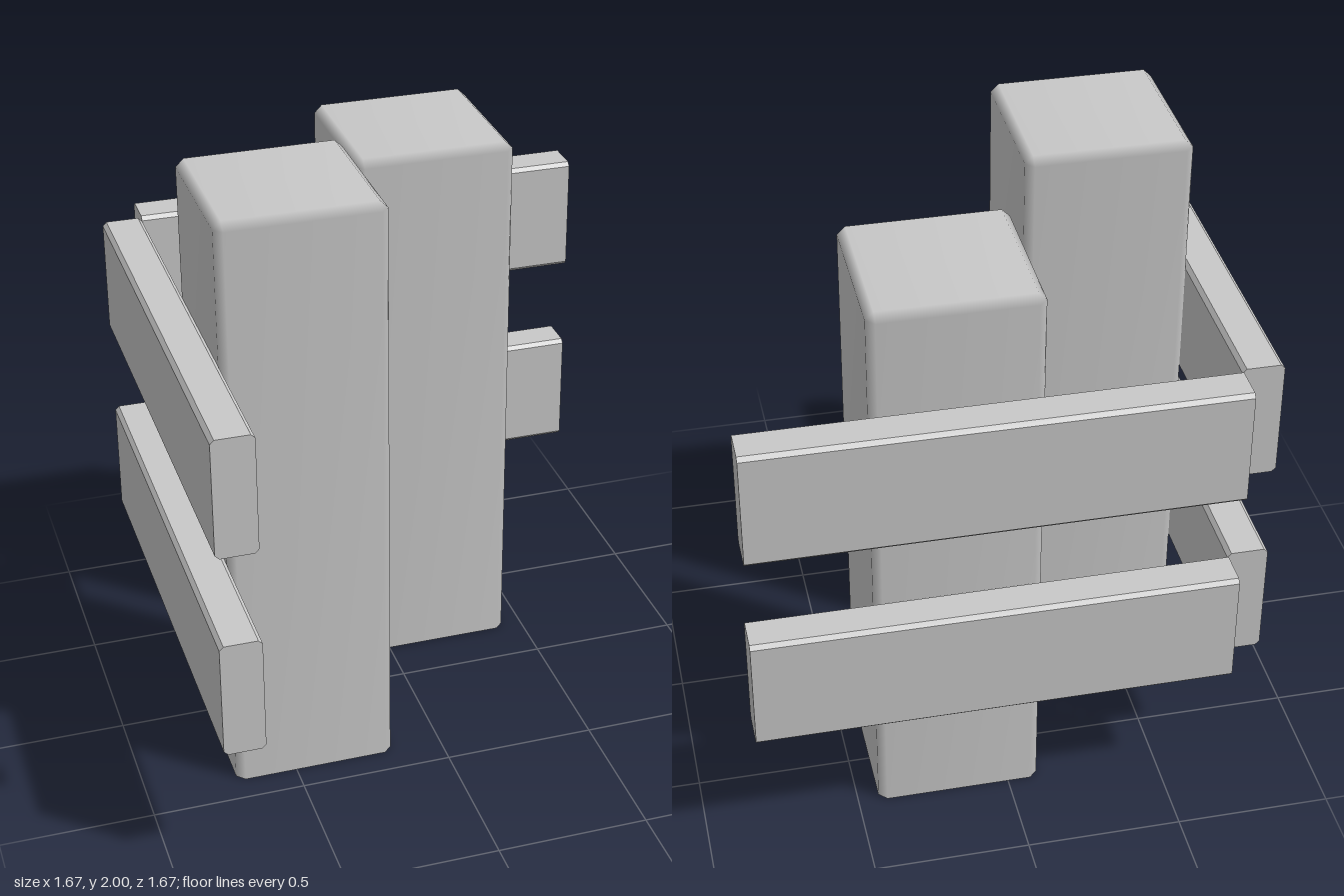
import * as THREE from 'three';

const grey = new THREE.MeshStandardMaterial({ color: 0xc8c8c8, side: THREE.DoubleSide });
grey.name = 'lightGrey';

// Square outline with cut corners, counter-clockwise, as [a, b] pairs
function cutCorners(w, h, c) {
  const a = w / 2, b = h / 2;
  return [[a, b - c], [a - c, b], [c - a, b], [-a, b - c], [-a, c - b], [c - a, -b], [a - c, -b], [a, c - b]];
}

// Post: bevelled upright edges and top, open underneath, softly smoothed
function postGeometry(width, height, bevel) {
  const outline = cutCorners(width, width, bevel);
  const t = width / 2 - bevel;
  const points = [];
  for (const y of [0, height - bevel]) for (const [x, z] of outline) points.push(x, y, z);
  for (const [x, z] of [[t, t], [-t, t], [-t, -t], [t, -t]]) points.push(x, height, z);
  const index = [];
  for (let i = 0; i < 8; i++) {
    const j = (i + 1) % 8;
    // wall or upright bevel
    index.push(i, i + 8, j, j, i + 8, j + 8);
    // top bevel: corner triangle, or strip along a side
    const p = 16 + Math.floor(i / 2), q = 16 + Math.floor(j / 2);
    index.push(i + 8, p, j + 8);
    if (p !== q) index.push(j + 8, p, q);
  }
  index.push(16, 18, 17, 16, 19, 18);
  const geometry = new THREE.BufferGeometry();
  geometry.setAttribute('position', new THREE.Float32BufferAttribute(points, 3));
  geometry.setIndex(index);
  geometry.computeVertexNormals();
  return geometry;
}

// Rail: bevelled section extruded along z, centred
function railGeometry(length, thickness, height, bevel) {
  const shape = new THREE.Shape(cutCorners(thickness, height, bevel).map(([x, y]) => new THREE.Vector2(x, y)));
  const geometry = new THREE.ExtrudeGeometry(shape, { depth: length, bevelEnabled: false });
  return geometry.translate(0, 0, -length / 2);
}

export function createModel() {
  const model = new THREE.Group();
  model.name = 'cornerFence';

  function add(name, geometry, x, y, z, turn = 0) {
    const mesh = new THREE.Mesh(geometry, grey);
    mesh.name = name;
    mesh.position.set(x, y, z);
    mesh.rotation.y = turn;
    model.add(mesh);
  }

  // Posts
  add('tallPost', postGeometry(0.532, 2, 0.026), -0.434, 0, 0.143);
  add('shortPost', postGeometry(0.532, 1.882, 0.026), 0.165, 0, -0.434);

  // Two rails on each side of the corner
  const rail = railGeometry(1.533, 0.133, 0.396, 0.013);
  [['lower', 0.643], ['upper', 1.346]].forEach(([level, y]) => {
    add(level + 'SideRail', rail, -0.767, y, 0.067);
    add(level + 'BackRail', rail, 0.067, y, -0.767, Math.PI / 2);
  });
  return model;
}
